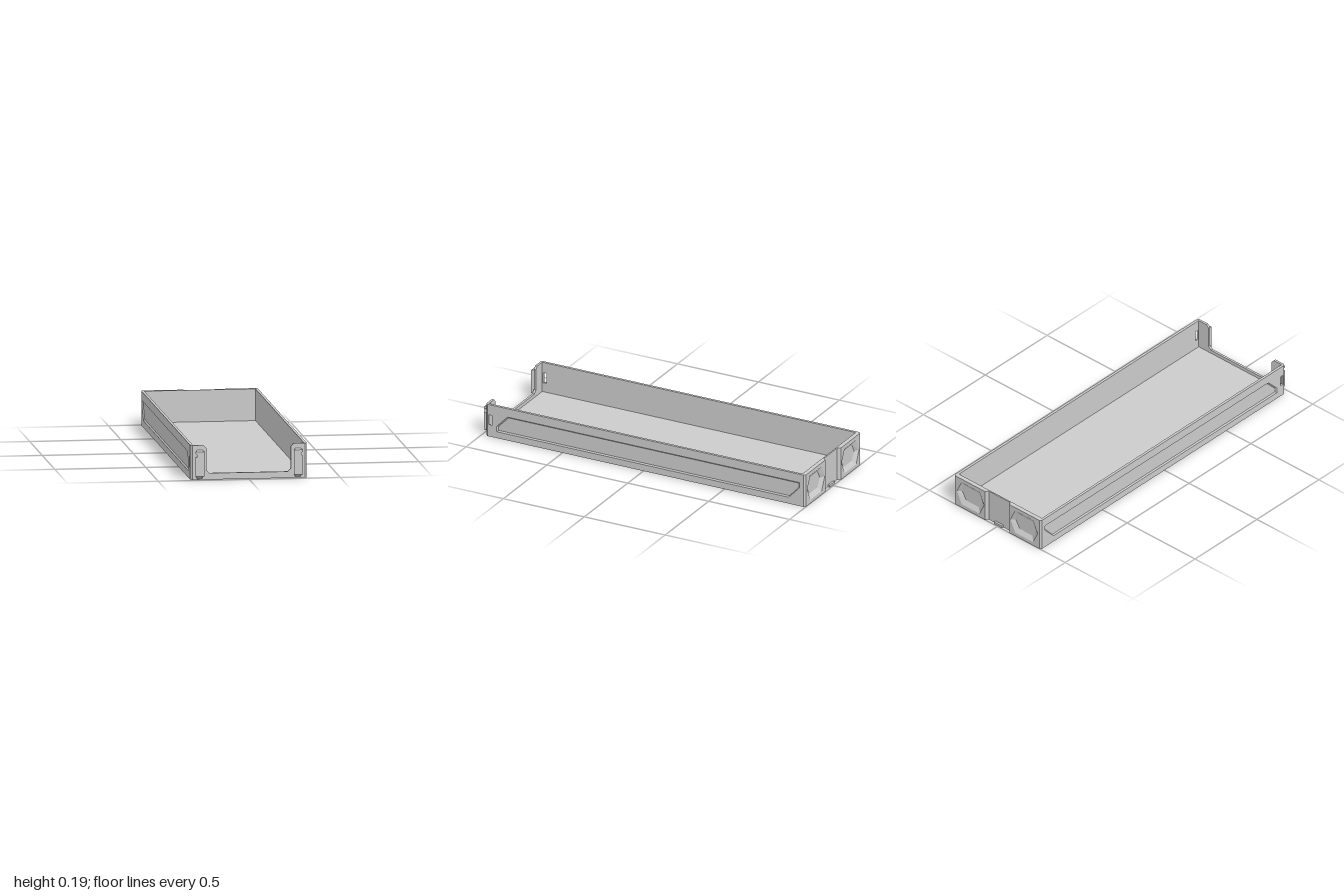
import * as THREE from 'three';

const W = 0.32, H = 0.19, BACK = -1, FRONT = 0.975, CH = 0.01;
const mat = new THREE.MeshStandardMaterial({ color: 0xcccccc, flatShading: true });

const toShape = pts => new THREE.Shape(pts.map(p => new THREE.Vector2(p[0], p[1])));
const rect = (x0, y0, x1, y1) => [[x0, y0], [x1, y0], [x1, y1], [x0, y1]];

// Flat plate with holes, extruded from z0 to z1
function plate(pts, holes, z0, z1) {
  const shape = toShape(pts);
  shape.holes = holes.map(toShape);
  return new THREE.ExtrudeGeometry(shape, { depth: z1 - z0, bevelEnabled: false }).translate(0, 0, z0);
}

// Sloped wall of a pocket: outer outline at zOuter down to inner outline at zInner
function slopedRing(outer, inner, zOuter, zInner) {
  const flip = THREE.ShapeUtils.isClockWise(outer.map(p => new THREE.Vector2(p[0], p[1])));
  const o = flip ? [...outer].reverse() : outer, n = flip ? [...inner].reverse() : inner;
  const pos = [];
  o.forEach((a, i) => {
    const j = (i + 1) % o.length;
    const A = [...a, zOuter], B = [...o[j], zOuter], C = [...n[j], zInner], D = [...n[i], zInner];
    pos.push(...A, ...B, ...C, ...A, ...C, ...D);
  });
  const g = new THREE.BufferGeometry();
  g.setAttribute('position', new THREE.Float32BufferAttribute(pos, 3));
  g.computeVertexNormals();
  return g;
}

export function createModel() {
  const model = new THREE.Group();
  const add = (name, geo, parent = model) => {
    const mesh = new THREE.Mesh(geo, mat);
    mesh.name = name;
    parent.add(mesh);
    return mesh;
  };

  // Tray floor
  add('floor', new THREE.BoxGeometry(0.61, 0.015, 1.938).translate(0, 0.0075, -0.006));

  // Side walls: long recessed panel and a through slot near the front
  for (const s of [1, -1]) {
    const side = new THREE.Group();
    side.name = s > 0 ? 'leftWall' : 'rightWall';
    side.rotation.y = s * Math.PI / 2;
    model.add(side);
    const map = pts => pts.map(([z, y]) => [-s * z, y]);
    const outline = map(rect(BACK + CH, 0, FRONT - CH, H));
    const slot = map(rect(0.936, 0.068, 0.957, 0.128));
    const recess = map([[0.907, 0.038], [0.907, 0.07], [0.84, 0.14], [-0.964, 0.14], [-0.964, 0.108], [-0.897, 0.038]]);
    const recessIn = map([[0.9, 0.045], [0.9, 0.068], [0.837, 0.133], [-0.957, 0.133], [-0.957, 0.11], [-0.9, 0.045]]);
    add('sideOuterSkin', plate(outline, [slot, recess], W - 0.007, W), side);
    add('sideInnerSkin', plate(outline, [slot], W - 0.015, W - 0.007), side);
    add('sidePanelBevel', slopedRing(recess, recessIn, W, W - 0.007), side);
  }

  // Chamfered vertical corners
  for (const sx of [1, -1]) for (const [z, sz] of [[FRONT, 1], [BACK, -1]]) {
    const x = sx * W;
    const tri = [[x - sx * CH, -z], [x, -z + sz * CH], [x - sx * CH, -z + sz * CH]];
    add('cornerChamfer', plate(tri, [], 0, H).rotateX(-Math.PI / 2));
  }

  // Front wall with a wide U-shaped opening
  const half = [[0.215, 0.035], [0.232, 0.053], [0.232, 0.173], [0.248, H]];
  const fx = W - CH;
  add('frontWall', plate([
    [-fx, 0], [fx, 0], [fx, H], ...[...half].reverse(),
    ...half.map(([x, y]) => [-x, y]), [-fx, H],
  ], [], FRONT - 0.013, FRONT));

  // Back wall: two hexagonal hand pockets beside a shallow central channel
  const back = new THREE.Group();
  back.name = 'backWall';
  back.rotation.y = Math.PI;
  model.add(back);
  add('backInnerSkin', plate(rect(-fx, 0, fx, H), [], 0.975, 0.983), back);
  const hex = (cx, w, h, flat) => [[-w, 0], [-flat, -h], [flat, -h], [w, 0], [flat, h], [-flat, h]]
    .map(([x, y]) => [cx + x, y + 0.095]);
  for (const s of [1, -1]) {
    const outer = hex(s * 0.197, 0.1, 0.073, 0.066), inner = hex(s * 0.197, 0.075, 0.048, 0.047);
    add('backPlate', plate(rect(s * 0.09, 0, s * fx, H), [outer], 0.983, 1), back);
    add('pocketSlope', slopedRing(outer, inner, 1, 0.983), back);
    const edge = [[s * 0.09, -1], [s * 0.09, -0.983], [s * 0.078, -0.983]];
    add('channelEdge', plate(edge, [], 0, H).rotateX(-Math.PI / 2), back);
  }
  add('channelTab', new THREE.BoxGeometry(0.06, 0.014, 0.014).translate(0, 0.007, 0.988), back);

  // Front clips: flared towards the front, sloped foot, chamfered top, notch on the outer edge
  for (const s of [1, -1]) {
    const notch = [];
    for (let i = 0; i <= 6; i++) {
      const a = -Math.PI / 2 - i * Math.PI / 6;
      notch.push([0.025 + 0.01 * Math.cos(a), 0.135 + 0.01 * Math.sin(a)]);
    }
    const pts = [[-0.016, 0.003], [0.016, 0.003], [0.025, 0.022], ...notch,
      [0.025, 0.157], [0.021, 0.163], [-0.021, 0.163], [-0.025, 0.157], [-0.025, 0.022]];
    const geo = plate(pts.map(([x, y]) => [s * x, y]), [], 0, 0.025);
    const p = geo.attributes.position;
    for (let i = 0; i < p.count; i++) {
      if (p.getZ(i) < 0.01) p.setX(i, p.getX(i) * 0.72);
      else if (p.getY(i) < 0.02) p.setY(i, 0.021);
      else if (p.getY(i) > 0.16) p.setY(i, 0.1575);
    }
    geo.computeVertexNormals();
    add('frontClip', geo.translate(s * 0.27, 0, FRONT));
  }

  return model;
}
